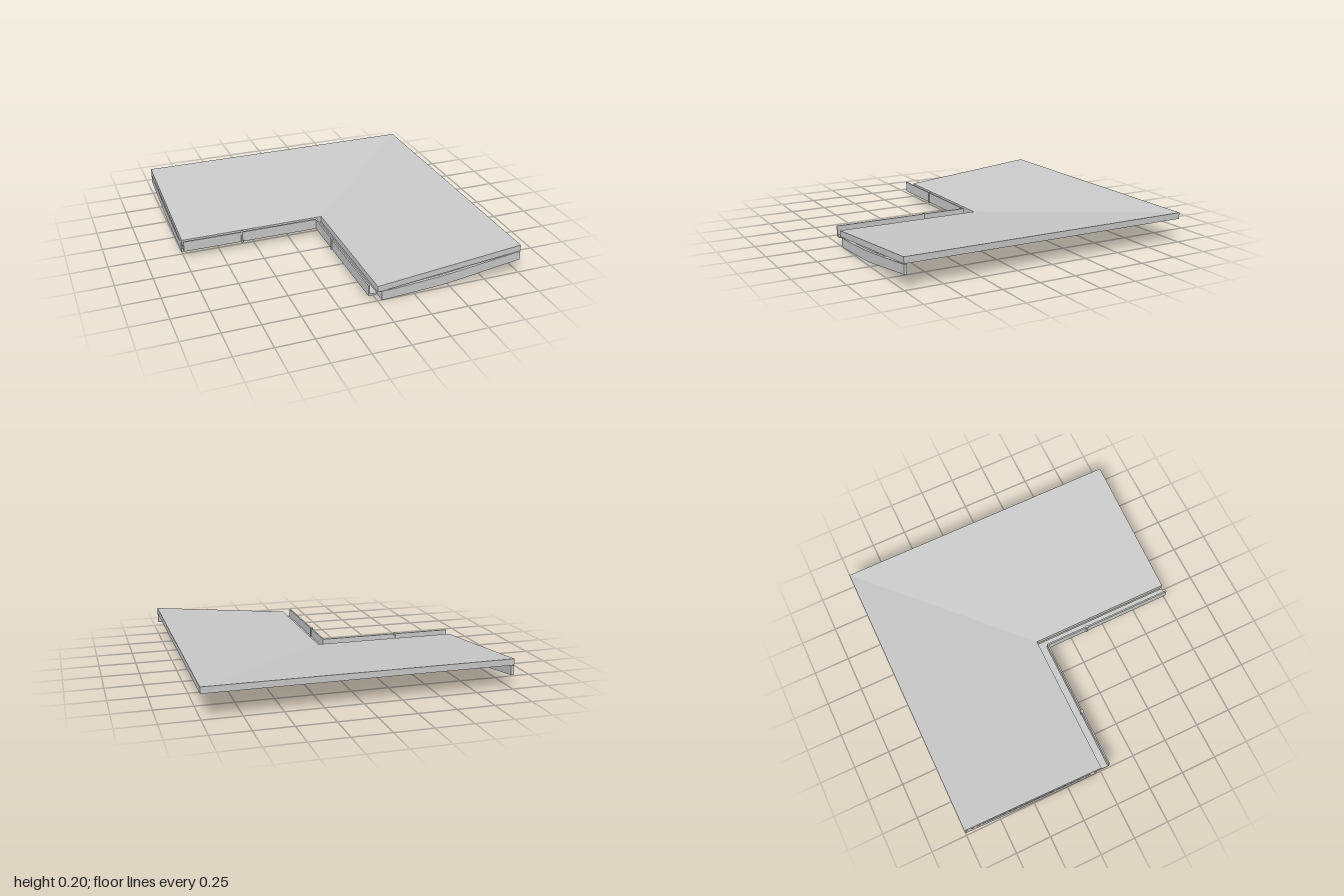
import * as THREE from 'three';

const material = new THREE.MeshStandardMaterial({ color: 0xcccccc, flatShading: true, side: THREE.DoubleSide });

function addMesh(group, name, geometry) {
  const mesh = new THREE.Mesh(geometry, material);
  mesh.name = name;
  group.add(mesh);
  return mesh;
}

// Sweeps a counterclockwise profile of [offset, height] round the mitred L-shaped corner.
function sweepCorner(profile) {
  const stations = [
    ([d, y]) => [d, y, 1],
    ([d, y]) => [d, y, -d],
    ([d, y]) => [-1, y, -d],
  ];
  const positions = [];
  const tri = (a, b, c) => positions.push(...a, ...b, ...c);
  for (let s = 0; s < 2; s++) {
    profile.forEach((p, i) => {
      const q = profile[(i + 1) % profile.length];
      const a0 = stations[s](p), b0 = stations[s](q);
      const a1 = stations[s + 1](p), b1 = stations[s + 1](q);
      tri(a0, a1, b1);
      tri(a0, b1, b0);
    });
  }
  // End caps
  const faces = THREE.ShapeUtils.triangulateShape(profile.map(([d, y]) => new THREE.Vector2(d, y)), []);
  for (const [a, b, c] of faces) {
    tri(...[a, b, c].map((i) => stations[0](profile[i])));
    tri(...[a, c, b].map((i) => stations[2](profile[i])));
  }
  const geometry = new THREE.BufferGeometry();
  geometry.setAttribute('position', new THREE.Float32BufferAttribute(positions, 3));
  geometry.computeVertexNormals();
  return geometry;
}

export function createModel() {
  const group = new THREE.Group();
  group.name = 'cornerRoof';

  // Sloping slab with a valley along the diagonal
  addMesh(group, 'roofSlab', sweepCorner([[0, 0.062], [1, 0.16], [1, 0.202], [0, 0.104]]));

  // Board under the inner eaves
  addMesh(group, 'eavesBoard', sweepCorner([[0.03, 0], [0.07, 0], [0.07, 0.066], [0.03, 0.062]]));

  // Open gutter along the inner eaves
  addMesh(group, 'gutter', sweepCorner([
    [-0.062, 0.05], [-0.006, 0.05], [-0.006, 0.062], [-0.052, 0.062], [-0.052, 0.122], [-0.062, 0.122],
  ]));

  // Bowed boards closing the two ends
  const board = new THREE.Shape([
    [0.03, 0], [0.07, 0], [0.26, 0.01], [0.45, 0.021], [0.56, 0.034], [1, 0.096],
    [1, 0.157], [0.56, 0.1], [0.45, 0.088], [0.26, 0.074], [0.07, 0.062], [0.03, 0.06],
  ].map(([x, y]) => new THREE.Vector2(x, y)));
  const boardGeometry = new THREE.ExtrudeGeometry(board, { depth: 0.02, bevelEnabled: false });
  addMesh(group, 'rightEndBoard', boardGeometry.clone().translate(0, 0, 0.98));
  addMesh(group, 'leftEndBoard', boardGeometry.clone().translate(0, 0, -1).rotateY(Math.PI / 2));

  // Gutter joint clips
  for (const [x, z] of [[-0.595, 0.057], [-0.057, 0.365]]) {
    const clip = addMesh(group, 'gutterClip', new THREE.CylinderGeometry(0.011, 0.011, 0.08, 8));
    clip.position.set(x, 0.086, z);
  }
  return group;
}
